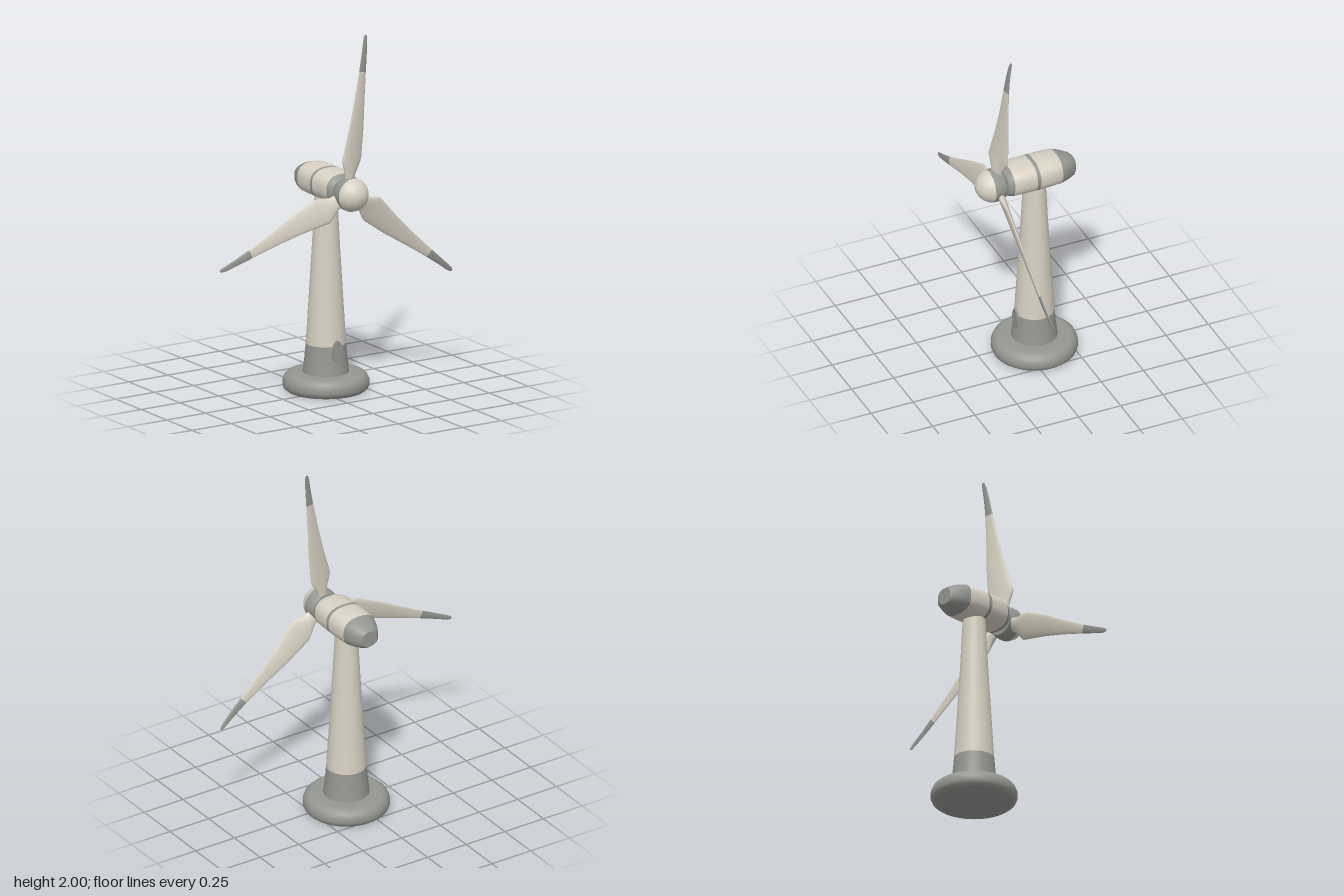
import * as THREE from 'three';

const light = new THREE.MeshStandardMaterial({ color: 0xd8d0c3 });
light.name = 'warmWhite';
const grey = new THREE.MeshStandardMaterial({ color: 0x949691 });
grey.name = 'grey';

const CX = 0.062, TOWER_Z = -0.055, HUB_Y = 1.143;

function add(parent, name, geometry, material, x = 0, y = 0, z = 0) {
  const mesh = new THREE.Mesh(geometry, material);
  mesh.name = name;
  mesh.position.set(x, y, z);
  parent.add(mesh);
  return mesh;
}

function lathe(points, segments = 48) {
  return new THREE.LatheGeometry(points.map(([r, y]) => new THREE.Vector2(r, y)), segments);
}

// Skins a list of closed rings; bands[i] is the material index between ring i and i + 1
function loft(rings, bands) {
  const n = rings[0].length, last = rings.length - 1;
  const pos = rings.flat(2), index = [];
  const geo = new THREE.BufferGeometry();
  const group = (start, m) => geo.addGroup(start, index.length - start, m);
  for (let i = 0; i < last; i++) {
    const start = index.length;
    for (let j = 0; j < n; j++) {
      const a = i * n + j, b = i * n + (j + 1) % n;
      index.push(a, b, a + n, b, b + n, a + n);
    }
    group(start, bands[i]);
  }
  // End caps with their own vertices, so the rim stays sharp
  for (const end of [0, last]) {
    const start = index.length, base = pos.length / 3;
    pos.push(...rings[end].flat());
    for (let j = 1; j < n - 1; j++) {
      if (end) index.push(base, base + j, base + j + 1);
      else index.push(base, base + j + 1, base + j);
    }
    group(start, bands[end ? last - 1 : 0]);
  }
  geo.setAttribute('position', new THREE.Float32BufferAttribute(pos, 3));
  geo.setIndex(index);
  geo.computeVertexNormals();
  return geo;
}

function ring(n, point) {
  return Array.from({ length: n }, (_, j) => point((j / n) * Math.PI * 2));
}

// Rounded-box sections along z: [z, half width, top, bottom]
function nacelleGeometry() {
  const sections = [
    [-0.282, 0.045, 1.195, 1.105], [-0.268, 0.064, 1.208, 1.094], [-0.225, 0.086, 1.23, 1.082],
    [-0.18, 0.103, 1.244, 1.076], [-0.12, 0.109, 1.245, 1.075], [-0.046, 0.11, 1.245, 1.075],
    [-0.026, 0.11, 1.245, 1.075], [0.06, 0.108, 1.245, 1.075], [0.103, 0.1, 1.238, 1.073],
    [0.125, 0.09, 1.226, 1.076], [0.135, 0.08, 1.215, 1.085],
  ];
  const soft = (v) => Math.sign(v) * Math.abs(v) ** 0.8;
  const rings = sections.map(([z, w, top, bottom]) => ring(36, (a) => [
    w * soft(Math.cos(a)),
    (top + bottom) / 2 + ((top - bottom) / 2) * soft(Math.sin(a)),
    z,
  ]));
  return loft(rings, [1, 1, 1, 0, 0, 1, 0, 0, 1, 1]);
}

// Blade sections: [radius, trailing edge, leading edge, z, twist slope, half thickness]
function bladeGeometry() {
  const sections = [
    [0.05, -0.036, 0.026, 0.168, 0.3, 0.022], [0.11, -0.048, 0.032, 0.168, 0.3, 0.02],
    [0.145, -0.068, 0.048, 0.167, 0.29, 0.018], [0.175, -0.083, 0.062, 0.166, 0.28, 0.016],
    [0.2, -0.079, 0.066, 0.165, 0.27, 0.015], [0.36, -0.054, 0.056, 0.162, 0.24, 0.011],
    [0.5, -0.039, 0.039, 0.159, 0.2, 0.008], [0.67, -0.026, 0.022, 0.156, 0.15, 0.006],
    [0.76, -0.021, 0.016, 0.152, 0.12, 0.005], [0.83, -0.017, 0.012, 0.146, 0.1, 0.004],
    [0.86, -0.013, 0.009, 0.142, 0.1, 0.003], [0.87, -0.007, 0.004, 0.14, 0.1, 0.002],
  ];
  const rings = sections.map(([u, back, front, z, slope, thick]) => ring(20, (a) => {
    const x = (back + front) / 2 + ((front - back) / 2) * Math.sin(a);
    return [x, u, z - slope * x + thick * Math.cos(a)];
  }));
  return loft(rings, sections.slice(1).map(([u]) => (u > 0.68 ? 1 : 0)));
}

export function createModel() {
  const model = new THREE.Group();
  model.name = 'windTurbine';

  // Foundation and tower
  add(model, 'foundation', lathe([
    [0, 0], [0.212, 0], [0.213, 0], [0.228, 0.012], [0.235, 0.03], [0.234, 0.055],
    [0.225, 0.078], [0.207, 0.094], [0.185, 0.1], [0.1, 0.1],
  ]), grey, CX, 0, TOWER_Z);
  add(model, 'towerFoot', lathe([[0.126, 0.095], [0.117, 0.17], [0.109, 0.26]]), grey, CX, 0, TOWER_Z);
  add(model, 'tower', lathe([[0.109, 0.26], [0.094, 0.5], [0.076, 0.8], [0.06, 1.12]]), light, CX, 0, TOWER_Z);

  // Oval door on the tower front
  const door = add(model, 'door', new THREE.CylinderGeometry(0.98, 1, 0.04, 32), grey, CX, 0.23, 0.042);
  door.rotation.x = Math.PI / 2;
  door.scale.set(0.032, 1, 0.064);

  // Nacelle with its grey nose ring, stripe and tail
  add(model, 'nacelle', nacelleGeometry(), [light, grey], CX, 0, 0);

  // Rotor: shaft, hub, nose cone and three blades
  const rotor = new THREE.Group();
  rotor.name = 'rotor';
  rotor.position.set(CX, HUB_Y, 0);
  model.add(rotor);
  const shaft = add(rotor, 'shaft', new THREE.CylinderGeometry(0.045, 0.045, 0.06, 24), grey, 0, 0, 0.13);
  const hub = add(rotor, 'hub', lathe([
    [0, 0.14], [0.078, 0.14], [0.081, 0.141], [0.089, 0.165], [0.092, 0.19], [0.092, 0.212],
  ]), grey);
  const nose = add(rotor, 'noseCone', lathe([
    [0.092, 0.212], [0.086, 0.232], [0.073, 0.254], [0.054, 0.273], [0.03, 0.286], [0, 0.291],
  ]), light);
  for (const part of [shaft, hub, nose]) part.rotation.x = Math.PI / 2;

  const blade = bladeGeometry();
  for (let i = 0; i < 3; i++) {
    const mesh = add(rotor, 'blade' + (i + 1), blade, [light, grey]);
    mesh.rotation.z = -THREE.MathUtils.degToRad(8.5 + i * 120);
  }
  return model;
}
